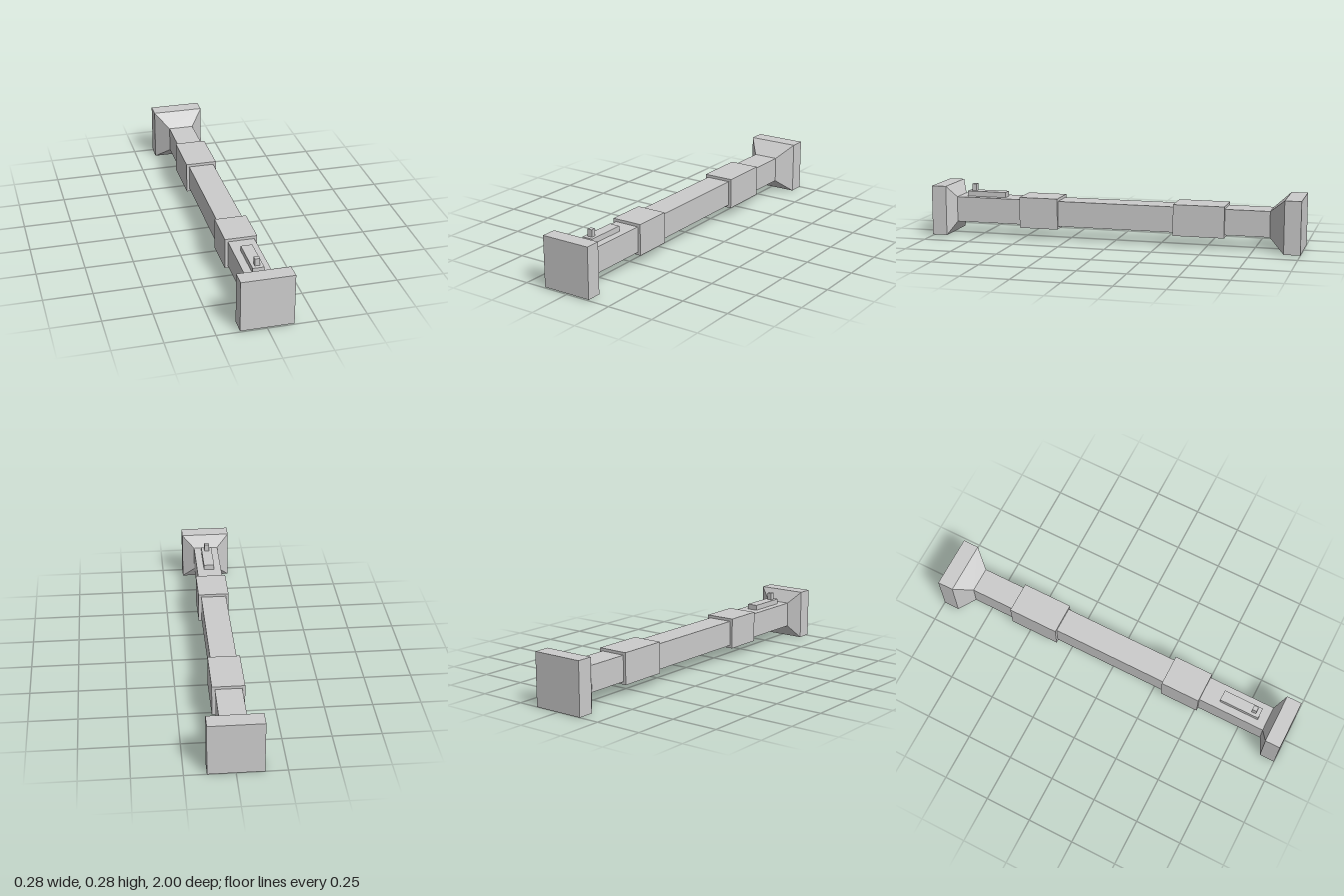
import * as THREE from 'three';

const AXIS_Y = 0.139; // height of the long axis
const TUBE = 0.068;   // half width of the square tube

export function createModel() {
  const group = new THREE.Group();
  const material = new THREE.MeshStandardMaterial({ color: 0xcccccc, flatShading: true });

  function add(name, geometry, y, z) {
    const mesh = new THREE.Mesh(geometry, material);
    mesh.name = name;
    mesh.position.set(0, y, z);
    group.add(mesh);
  }

  // Square block centred on the axis, spanning z0 to z1
  function block(name, half, z0, z1) {
    add(name, new THREE.BoxGeometry(half * 2, half * 2, z1 - z0), AXIS_Y, (z0 + z1) / 2);
  }

  // Square frustum along z with half widths at its back and front ends
  function taper(name, halfBack, halfFront, z0, z1) {
    const g = new THREE.CylinderGeometry(halfFront * Math.SQRT2, halfBack * Math.SQRT2, z1 - z0, 4, 1, true);
    g.rotateY(Math.PI / 4).rotateX(Math.PI / 2);
    add(name, g, AXIS_Y, (z0 + z1) / 2);
  }

  // Box resting on a given height
  function restingBox(name, width, y0, y1, z0, z1) {
    add(name, new THREE.BoxGeometry(width, y1 - y0, z1 - z0), (y0 + y1) / 2, (z0 + z1) / 2);
  }

  // Main tube and its two collars
  block('tube', TUBE, -0.92, 0.925);
  block('frontCollar', 0.083, 0.305, 0.517);
  block('backCollar', 0.083, -0.598, -0.326);

  // Flared end plates
  block('frontPlate', 0.134, 0.919, 1);
  taper('frontFlare', TUBE, 0.134, 0.88, 0.919);
  block('backPlate', 0.139, -1, -0.915);
  taper('backFlare', 0.139, TUBE, -0.915, -0.833);

  // Raised rail with a small post on top
  const tubeTop = AXIS_Y + TUBE;
  restingBox('rail', 0.058, tubeTop - 0.005, 0.235, 0.616, 0.833);
  restingBox('post', 0.026, 0.23, 0.273, 0.788, 0.813);

  return group;
}
